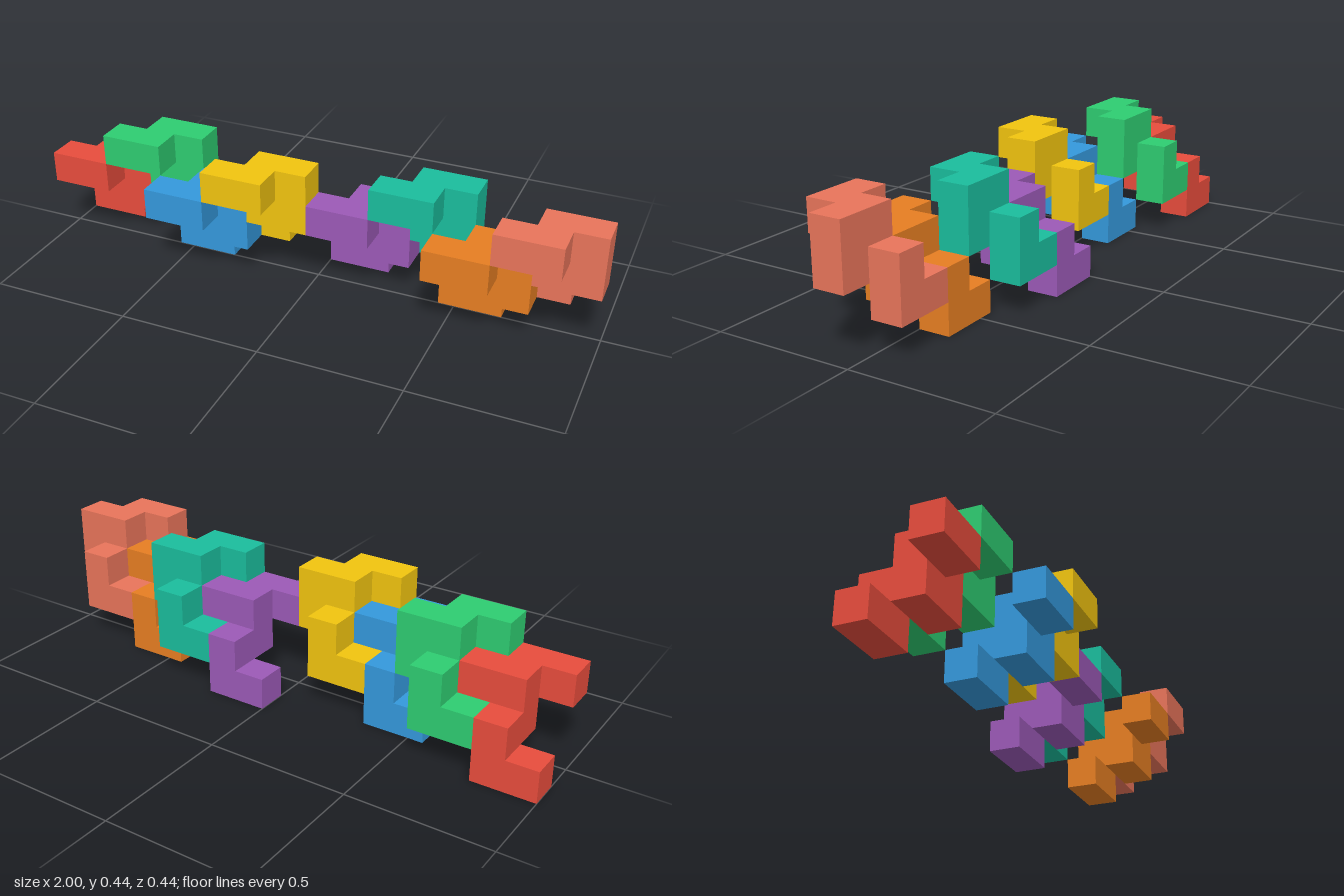
import * as THREE from 'three';
import { mergeGeometries } from 'three/addons/utils/BufferGeometryUtils.js';

const U = 1 / 9; // edge of one cube cell

// Cells [x, y, z] of the interlocking piece: low foot, square core, high arm
const CELLS = [
  [0, 0, 0], [1, 0, 0], [1, 1, 0],
  [1, 1, 1], [2, 1, 1], [1, 2, 1], [2, 2, 1],
  [0, 2, 2], [1, 2, 2],
];

// Six directions, with the rotation that turns a +z plane to face each one
const Q = Math.PI / 2;
const SIDES = [
  [[0, 0, 1], 0, 0], [[0, 0, -1], 0, 2 * Q],
  [[1, 0, 0], 0, Q], [[-1, 0, 0], 0, -Q],
  [[0, 1, 0], -Q, 0], [[0, -1, 0], Q, 0],
];

// Outer skin of the piece: one square per cell side with no neighbour
function pieceGeometry() {
  const filled = new Set(CELLS.map(String));
  const faces = [];
  for (const cell of CELLS) {
    for (const [dir, rx, ry] of SIDES) {
      if (filled.has(String(cell.map((v, i) => v + dir[i])))) continue;
      const c = cell.map((v, i) => (v + 0.5 + dir[i] / 2) * U);
      faces.push(new THREE.PlaneGeometry(U, U).rotateX(rx).rotateY(ry).translate(...c));
    }
  }
  return mergeGeometries(faces);
}

// Name, colour and cell offset of each piece
const PIECES = [
  ['redPiece', 0xe74c3c, 0, 0, 0],
  ['greenPiece', 0x2ecc71, 2, 1, 0],
  ['bluePiece', 0x3498db, 4, 0, 1],
  ['yellowPiece', 0xf1c40f, 6, 1, 1],
  ['purplePiece', 0x9b59b6, 9, 0, 0],
  ['tealPiece', 0x1abc9c, 11, 1, 0],
  ['orangePiece', 0xe67e22, 13, 0, 1],
  ['salmonPiece', 0xe8745a, 15, 1, 1],
];

export function createModel() {
  const model = new THREE.Group();
  model.name = 'interlockingPieces';
  const geometry = pieceGeometry();
  for (const [name, color, x, y, z] of PIECES) {
    const piece = new THREE.Mesh(geometry, new THREE.MeshStandardMaterial({ color }));
    piece.name = name;
    piece.position.set((x - 9) * U, y * U, (z - 2) * U);
    model.add(piece);
  }
  return model;
}
